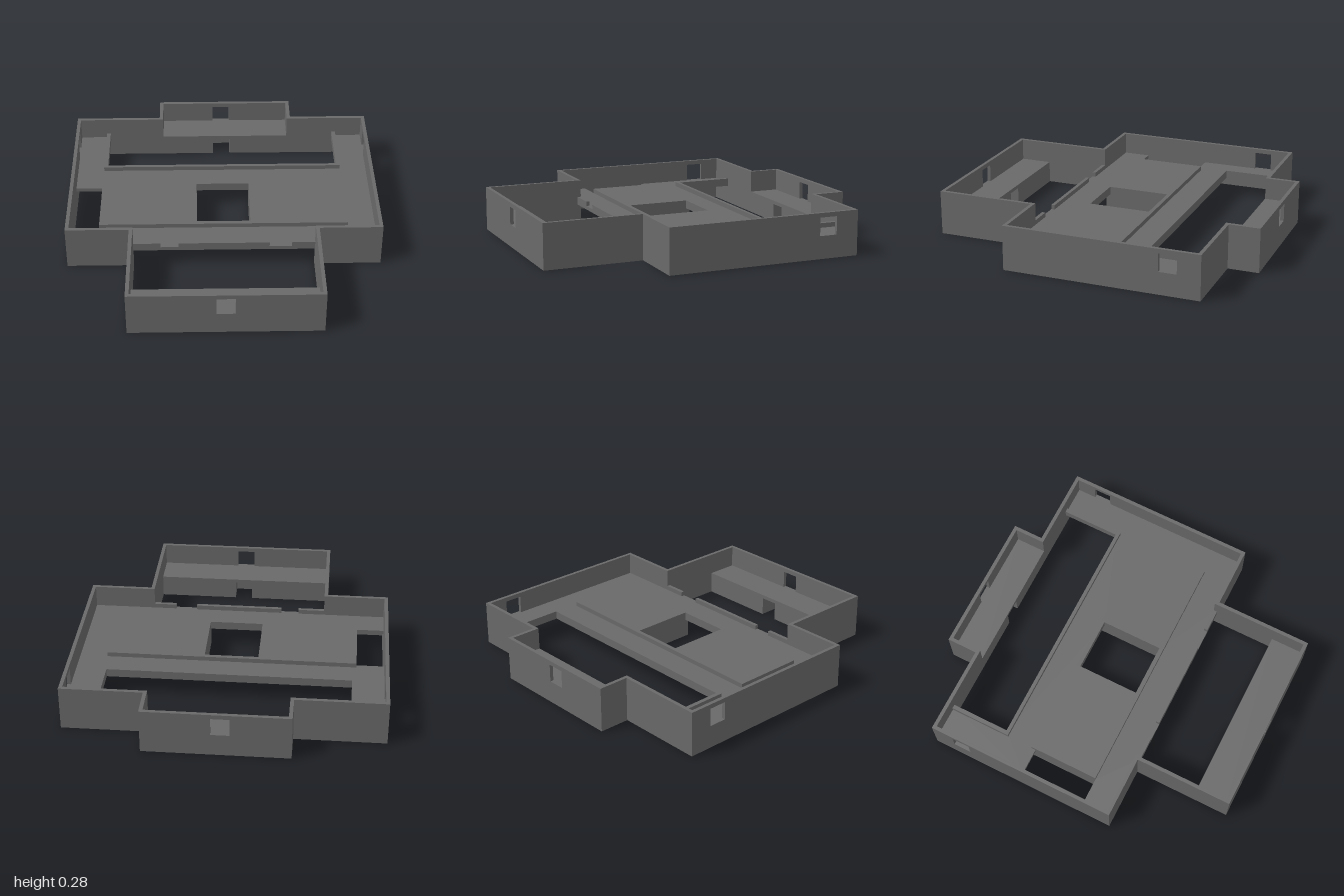
import * as THREE from 'three';

const H = 0.275;     // wall height
const T = 0.022;     // wall thickness
const FLOOR = 0.138; // top of the floor
const UNDER = 0.115; // underside of the floor
const RIM = 0.166;   // top of rims and raised panels
const SIDE = 0.955;  // half width of the main body
const FRONT = 0.393; // front of the main body
const BACK = -0.81;  // back of the main body
const BAY = 0.572;   // half width of the front bay

export function createModel() {
  const model = new THREE.Group();
  const material = new THREE.MeshStandardMaterial({ color: 0x696969 });

  const add = (name, geometry) => {
    const mesh = new THREE.Mesh(geometry, material);
    mesh.name = name;
    model.add(mesh);
  };

  const box = (name, x0, x1, y0, y1, z0, z1) =>
    add(name, new THREE.BoxGeometry(x1 - x0, y1 - y0, z1 - z0)
      .translate((x0 + x1) / 2, (y0 + y1) / 2, (z0 + z1) / 2));

  const rect = (Type, x0, y0, x1, y1) => new Type([
    new THREE.Vector2(x0, y0), new THREE.Vector2(x1, y0),
    new THREE.Vector2(x1, y1), new THREE.Vector2(x0, y1),
  ]);

  // Wall panel with one window, drawn in the xy plane
  const windowWall = (from, to, centre) => {
    const shape = rect(THREE.Shape, from, 0, to, H);
    shape.holes.push(rect(THREE.Path, centre - 0.055, FLOOR, centre + 0.055, 0.248));
    return new THREE.ExtrudeGeometry(shape, { depth: T, bevelEnabled: false });
  };

  // Outer walls with windows
  add('frontWall', windowWall(-BAY, BAY, 0).translate(0, 0, 1 - T));
  add('backWall', windowWall(-0.41, 0.46, 0).translate(0, 0, -1));
  for (const [name, x] of [['leftWall', SIDE - T], ['rightWall', -SIDE]]) {
    add(name, windowWall(-FRONT, -BACK, 0.615).rotateY(Math.PI / 2).translate(x, 0, 0));
  }

  // Plain walls of the main body and both bays
  for (const [side, s] of [['left', 1], ['right', -1]]) {
    const wall = (name, xa, xb, z0, z1) =>
      box(side + name, Math.min(s * xa, s * xb), Math.max(s * xa, s * xb), 0, H, z0, z1);
    const backBay = s > 0 ? 0.46 : 0.41;
    wall('FrontReturn', BAY - T, SIDE - T, FRONT - T, FRONT);
    wall('FrontBaySide', BAY - T, BAY, FRONT, 1 - T);
    wall('BackReturn', backBay - T, SIDE - T, BACK, BACK + T);
    wall('BackBaySide', backBay - T, backBay, -1 + T, BACK);
  }

  // Main floor, notched at the back and right and pierced by the centre opening
  const inX = SIDE - T, inFront = FRONT - T, inBack = BACK + T, inBay = BAY - T;
  const floor = new THREE.Shape([
    [-inX, inBack], [-0.74, inBack], [-0.74, -0.422], [0.74, -0.422], [0.74, inBack],
    [inX, inBack], [inX, inFront], [inBay, inFront], [inBay, FRONT], [-inBay, FRONT],
    [-inBay, inFront], [-inX, inFront], [-inX, 0.203], [-0.765, 0.203],
    [-0.765, -0.21], [-inX, -0.21],
  ].map(([x, z]) => new THREE.Vector2(x, z)));
  floor.holes.push(rect(THREE.Path, -0.165, -0.21, 0.165, 0.177));
  add('floor', new THREE.ExtrudeGeometry(floor, { depth: FLOOR - UNDER, bevelEnabled: false })
    .rotateX(Math.PI / 2).translate(0, FLOOR, 0));

  // Raised blocks either side of the centre opening, joined by thin strips
  box('leftBlock', 0.165, 0.765, 0, RIM, -0.235, 0.203);
  box('rightBlock', -0.765, -0.165, 0, RIM, -0.235, 0.203);
  box('backStrip', -0.165, 0.165, UNDER, RIM, -0.235, -0.21);
  box('frontStrip', -0.165, 0.165, UNDER, RIM, 0.177, 0.203);

  // Rim around the back opening
  box('rimFront', -0.765, 0.765, UNDER, RIM, -0.422, -0.4);
  box('rimLeft', 0.74, 0.765, UNDER, RIM, inBack, -0.422);
  box('rimRight', -0.765, -0.74, UNDER, RIM, inBack, -0.422);

  // Low rails along the front edge of the floor
  for (const [x0, x1] of [[-inBay, -0.385], [-0.275, 0.275], [0.41, inBay]]) {
    box('frontRail', x0, x1, FLOOR, RIM, inFront, FRONT);
  }

  // Bay shelf: slab, riser with a gap in the middle, and a niche behind the gap
  const shelf = (name, x0, x1, inner, outer) => {
    const d = Math.sign(outer);
    const part = (suffix, xa, xb, y0, y1, za, zb) =>
      box(name + suffix, xa, xb, y0, y1, Math.min(za, zb), Math.max(za, zb));
    const behind = inner + d * T, back = inner + d * 0.12;
    part('Slab', x0, x1, UNDER, FLOOR, inner, outer);
    part('RiserRight', x0, -0.055, 0, UNDER, inner, behind);
    part('RiserLeft', 0.055, x1, 0, UNDER, inner, behind);
    part('NicheRight', -0.06, -0.055, 0, UNDER, behind, back);
    part('NicheLeft', 0.055, 0.06, 0, UNDER, behind, back);
    part('NicheBack', -0.06, 0.06, 0, UNDER, back, back + d * 0.005);
  };
  shelf('frontShelf', -inBay, inBay, 0.78, 1 - T);
  shelf('backShelf', -0.41 + T, 0.46 - T, inBack, -1 + T);

  return model;
}
